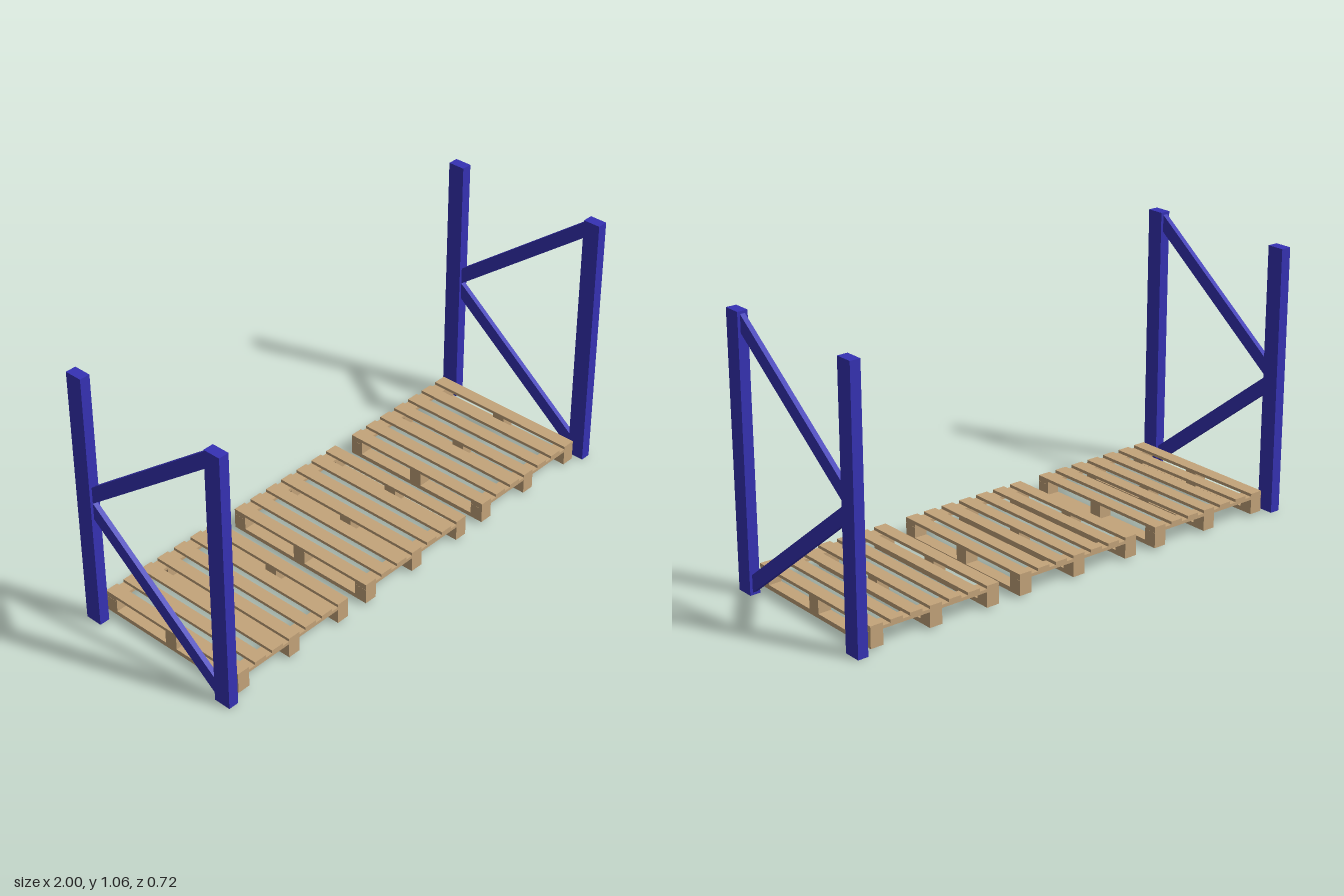
import * as THREE from 'three';

const blue = new THREE.MeshStandardMaterial({ color: 0x3632b4 });
const wood = new THREE.MeshStandardMaterial({ color: 0xc4a47a });

// Box given by its min and max on each axis
function addBox(parent, name, material, [x0, x1], [y0, y1], [z0, z1]) {
  const mesh = new THREE.Mesh(new THREE.BoxGeometry(x1 - x0, y1 - y0, z1 - z0), material);
  mesh.position.set((x0 + x1) / 2, (y0 + y1) / 2, (z0 + z1) / 2);
  mesh.name = name;
  parent.add(mesh);
}

// Sloping brace in the side plane, cut upright where it meets the posts
function addBrace(parent, name, yFront, yBack) {
  const z = 0.291, h = 0.068, t = 0.02;
  const shape = new THREE.Shape([
    new THREE.Vector2(-z, yFront), new THREE.Vector2(z, yBack),
    new THREE.Vector2(z, yBack + h), new THREE.Vector2(-z, yFront + h),
  ]);
  const geometry = new THREE.ExtrudeGeometry(shape, { depth: t, bevelEnabled: false });
  geometry.translate(0, 0, -t / 2);
  geometry.rotateY(Math.PI / 2); // shape x becomes -z
  const mesh = new THREE.Mesh(geometry, blue);
  mesh.name = name;
  parent.add(mesh);
}

function createEndFrame() {
  const frame = new THREE.Group();
  frame.name = 'endFrame';
  addBox(frame, 'frontPost', blue, [-0.021, 0.021], [0, 1.057], [0.291, 0.361]);
  addBox(frame, 'backPost', blue, [-0.021, 0.021], [0, 1.057], [-0.361, -0.291]);
  addBrace(frame, 'lowerBrace', 0.01, 0.469);
  addBrace(frame, 'upperBrace', 0.979, 0.537);
  return frame;
}

function createPallet() {
  const pallet = new THREE.Group();
  pallet.name = 'pallet';
  const halfZ = 0.333, half = 0.0265, reach = 0.251;

  // Top slats
  for (let i = 0; i < 7; i++) {
    const x = -reach + (i * reach) / 3;
    addBox(pallet, 'topSlat', wood, [x - half, x + half], [0.08, 0.092], [-halfZ, halfZ]);
  }
  // Cross boards under both slat ends
  for (const z of [-0.306, 0.306]) {
    addBox(pallet, 'crossBoard', wood, [-0.277, 0.277], [0.068, 0.08], [z - 0.027, z + 0.027]);
  }
  // Runners with three blocks each
  for (const x of [-reach, 0, reach]) {
    addBox(pallet, 'runner', wood, [x - half, x + half], [0.008, 0.025], [-halfZ, halfZ]);
    for (const z of [-0.306, 0, 0.306]) {
      const top = z === 0 ? 0.08 : 0.068;
      addBox(pallet, 'block', wood, [x - half, x + half], [0.025, top], [z - 0.027, z + 0.027]);
    }
  }
  return pallet;
}

export function createModel() {
  const model = new THREE.Group();
  model.name = 'palletRack';
  for (const x of [-0.979, 0.979]) {
    const frame = createEndFrame();
    frame.position.x = x;
    model.add(frame);
  }
  for (const x of [-0.65, 0, 0.65]) {
    const pallet = createPallet();
    pallet.position.x = x;
    model.add(pallet);
  }
  return model;
}
